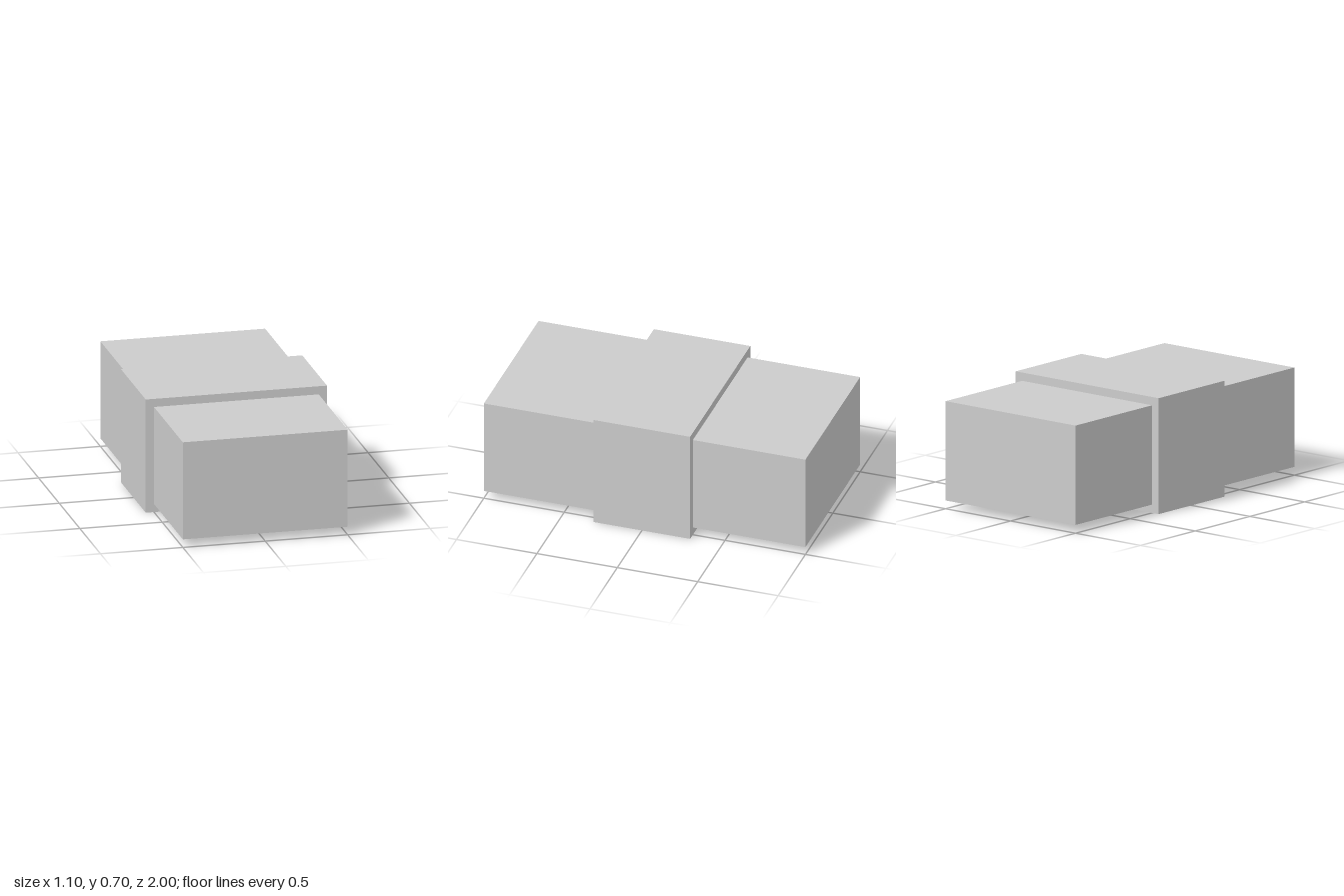
import * as THREE from 'three';

export function createModel() {
  const model = new THREE.Group();
  const material = new THREE.MeshStandardMaterial({ color: 0xcccccc });

  function addBox(name, width, height, depth) {
    const mesh = new THREE.Mesh(new THREE.BoxGeometry(width, height, depth), material);
    mesh.name = name;
    mesh.position.y = 0.35;
    model.add(mesh);
  }

  // Long block running front to back
  addBox('body', 1, 0.6, 2);
  // Wider band wrapped around the middle
  addBox('band', 1.1, 0.7, 0.6);

  return model;
}
